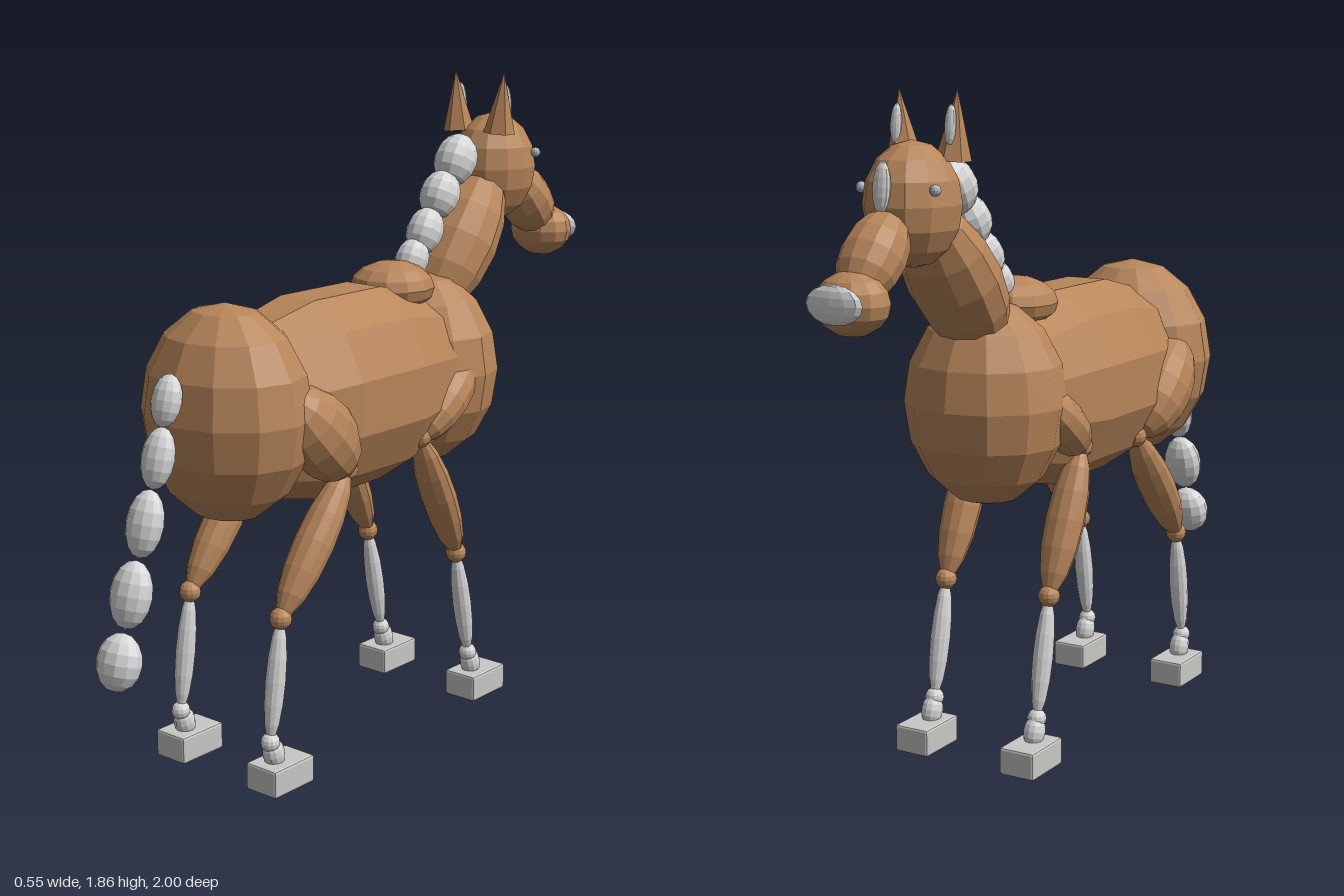
import * as THREE from 'three';
import { RoundedBoxGeometry } from 'three/addons/geometries/RoundedBoxGeometry.js';

const paint = (name, color) => {
  const m = new THREE.MeshStandardMaterial({ color, flatShading: true });
  m.name = name;
  return m;
};

export function createModel() {
  const coat = paint('chestnut coat', 0xb8865a);
  const pale = paint('pale hair', 0xd6d6d6);
  const horn = paint('hoof grey', 0xc8c8c5);
  const glass = paint('eye grey', 0xa9b3bd);

  const horse = new THREE.Group();
  horse.name = 'horse';
  const ball = new THREE.SphereGeometry(1, 12, 8);

  const add = (parent, name, geometry, material, x, y, z) => {
    const mesh = new THREE.Mesh(geometry, material);
    mesh.name = name;
    mesh.position.set(x, y, z);
    parent.add(mesh);
    return mesh;
  };
  // Faceted ellipsoid with radii r, pitched about x by tilt
  const blob = (parent, name, material, [x, y, z], r, tilt = 0) => {
    const mesh = add(parent, name, ball, material, x, y, z);
    mesh.scale.set(...r);
    mesh.rotation.x = tilt;
    return mesh;
  };
  // Spindle between two points in a plane of constant x
  const limb = (parent, name, material, x, [y0, z0], [y1, z1], rx, rz) => {
    const half = Math.hypot(y1 - y0, z1 - z0) / 2;
    return blob(parent, name, material, [x, (y0 + y1) / 2, (z0 + z1) / 2],
      [rx, half, rz], Math.atan2(z1 - z0, y1 - y0));
  };

  // Trunk
  const profile = [[0, -0.6], [0.5, -0.52], [0.82, -0.36], [1, -0.14],
    [1, 0.14], [0.82, 0.36], [0.5, 0.52], [0, 0.6]].map(p => new THREE.Vector2(...p));
  const barrel = new THREE.LatheGeometry(profile, 12, Math.PI / 12);
  barrel.rotateX(Math.PI / 2);
  add(horse, 'barrel', barrel, coat, 0, 1.01, 0.11).scale.set(0.24, 0.29, 1);
  blob(horse, 'hindquarters', coat, [0, 1.022, 0.535], [0.252, 0.297, 0.21]);
  blob(horse, 'chest', coat, [0, 1.01, -0.305], [0.232, 0.287, 0.205]);
  blob(horse, 'withers', coat, [0, 1.267, -0.16], [0.124, 0.075, 0.122]);

  // Neck and head
  blob(horse, 'neck', coat, [0, 1.36, -0.455], [0.135, 0.26, 0.112], -0.64);
  blob(horse, 'head', coat, [0, 1.572, -0.643], [0.123, 0.162, 0.14]);
  blob(horse, 'muzzle', coat, [0, 1.455, -0.815], [0.085, 0.135, 0.082], 0.72);
  blob(horse, 'muzzleTip', coat, [0, 1.35, -0.905], [0.1, 0.082, 0.083]);
  blob(horse, 'nose', pale, [0, 1.355, -0.978], [0.085, 0.05, 0.021]);
  blob(horse, 'blaze', pale, [0, 1.622, -0.775], [0.026, 0.066, 0.016], 0.1);

  // Mane, running down from the poll
  [[1.605, -0.455, 0.064, 0.08], [1.51, -0.38, 0.06, 0.074],
    [1.41, -0.31, 0.055, 0.072], [1.335, -0.25, 0.05, 0.062]].forEach(([y, z, r, h]) =>
    blob(horse, 'maneTuft', pale, [0, y, z], [r, h, r], -0.5));

  // Tail, widening toward the end
  [[1.095, 0.755, 0.045, 0.07], [0.95, 0.79, 0.049, 0.082], [0.787, 0.842, 0.055, 0.09],
    [0.61, 0.897, 0.062, 0.09], [0.44, 0.945, 0.067, 0.077]].forEach(([y, z, r, h]) =>
    blob(horse, 'tailTuft', pale, [0, y, z], [r, h, r * 0.8], -0.27));

  const earCone = new THREE.ConeGeometry(0.047, 0.18, 6);
  const hoofBox = new RoundedBoxGeometry(0.108, 0.078, 0.158, 1, 0.007);

  // A leg from its top joint down to the hoof
  const leg = (name, s, top, knee, fetlock, hoofZ, thick) => {
    const g = new THREE.Group();
    g.name = name;
    horse.add(g);
    const x = s * 0.17;
    const joint = (part, material, [y, z], r) => blob(g, part, material, [x, y, z], [r, r, r]);
    joint('upperJoint', coat, top, 0.033);
    limb(g, 'upperLeg', coat, x, top, knee, 0.058, thick);
    joint('knee', coat, knee, 0.031);
    limb(g, 'cannon', pale, x, knee, fetlock, 0.028, 0.029);
    joint('fetlock', pale, fetlock, 0.027);
    limb(g, 'pastern', pale, x, [fetlock[0] + 0.01, fetlock[1]], [0.06, hoofZ + 0.01], 0.03, 0.032);
    add(g, 'hoof', hoofBox, horn, s * 0.173, 0.043, hoofZ);
    return g;
  };

  for (const s of [1, -1]) {
    // Ears and eyes
    const ear = add(horse, 'ear', earCone, coat, s * 0.082, 1.77, -0.568);
    ear.rotation.z = -s * 0.08;
    blob(horse, 'innerEar', pale, [s * 0.083, 1.77, -0.592], [0.016, 0.052, 0.012], 0.12);
    blob(horse, 'eye', glass, [s * 0.112, 1.615, -0.705], [0.015, 0.015, 0.015]);

    // Legs, with shoulder and thigh muscles
    const front = leg('frontLeg', s, [0.863, -0.078], [0.473, -0.255], [0.14, -0.32], -0.356, 0.046);
    limb(front, 'shoulder', coat, s * 0.165, [0.855, -0.07], [1.045, -0.31], 0.075, 0.07);
    const hind = leg('hindLeg', s, [0.835, 0.245], [0.48, 0.517], [0.14, 0.563], 0.527, 0.052);
    limb(hind, 'thigh', coat, s * 0.185, [0.84, 0.255], [1.085, 0.495], 0.09, 0.107);
  }

  return horse;
}
